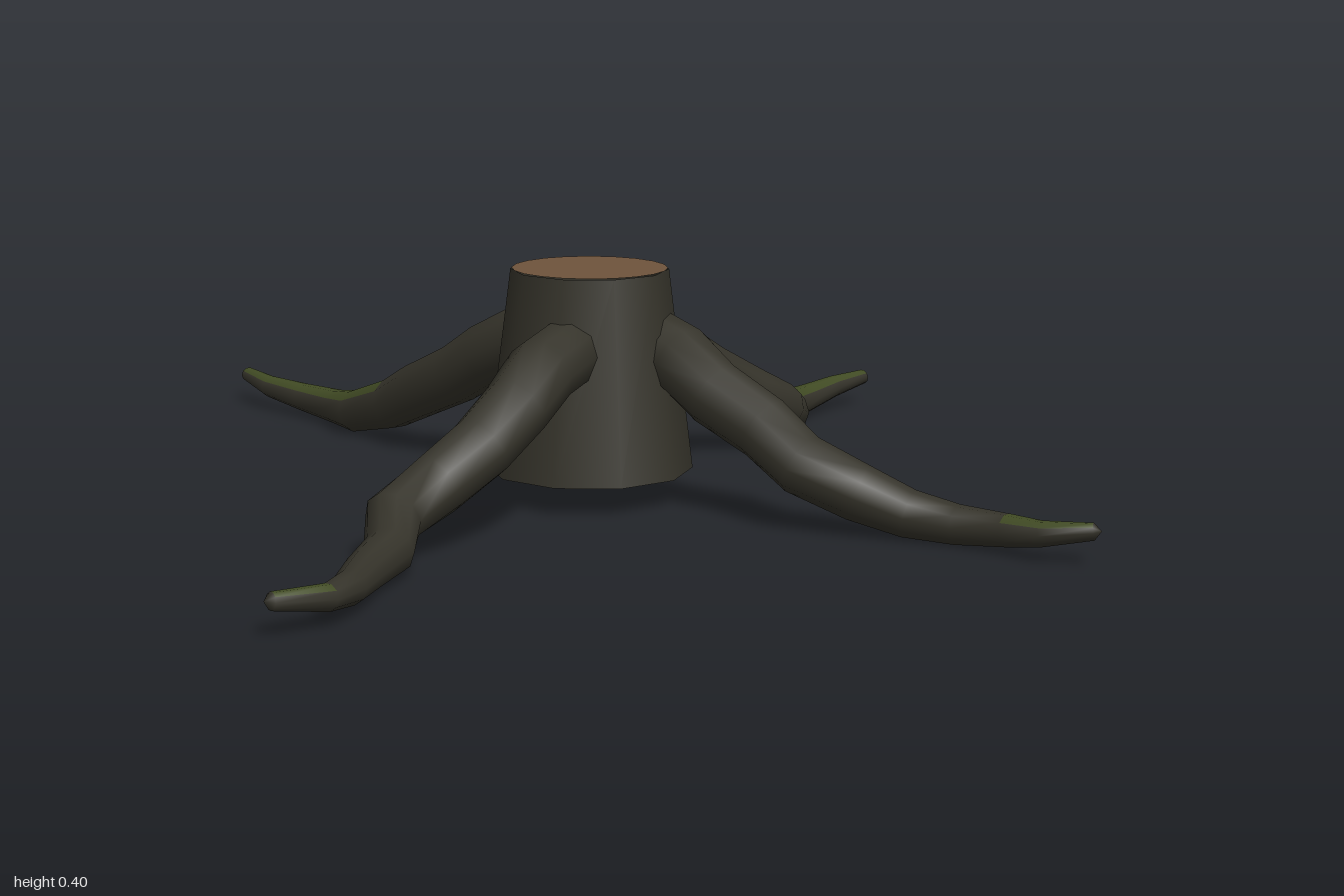
import * as THREE from 'three';

const material = (name, color, side = THREE.FrontSide) => {
  const m = new THREE.MeshStandardMaterial({ color, side });
  m.name = name;
  return m;
};

// Height and thickness shared by every root, from trunk to tip
const HEIGHT = [0.275, 0.255, 0.21, 0.16, 0.115, 0.075, 0.047, 0.038, 0.042, 0.05, 0.06];
const RADIUS = [0.06, 0.06, 0.057, 0.055, 0.052, 0.048, 0.04, 0.033, 0.027, 0.021, 0.014];
const SIDES = 10;

// Crooked tapering tube along [x, z] points; upper faces turn mossy past mossStart
function rootGeometry(path, mossStart) {
  const pts = path.map(([x, z], i) => new THREE.Vector3(x, HEIGHT[i], z));
  const up = new THREE.Vector3(0, 1, 0);
  const pos = [], bark = [], moss = [];
  const last = pts.length - 1;
  pts.forEach((p, k) => {
    const t = pts[Math.min(k + 1, last)].clone().sub(pts[Math.max(k - 1, 0)]).normalize();
    const s = t.clone().cross(up).normalize();
    const n = s.clone().cross(t);
    for (let i = 0; i < SIDES; i++) {
      const a = (i / SIDES) * Math.PI * 2;
      const v = p.clone().addScaledVector(s, Math.cos(a) * RADIUS[k]).addScaledVector(n, Math.sin(a) * RADIUS[k]);
      pos.push(v.x, v.y, v.z);
    }
    // Rounded tip point
    if (k === last) {
      const tip = p.clone().addScaledVector(t, 0.012);
      pos.push(tip.x, tip.y, tip.z);
    }
  });
  for (let k = 0; k < last; k++) {
    for (let i = 0; i < SIDES; i++) {
      const j = (i + 1) % SIDES;
      const a = k * SIDES + i, b = a + SIDES, c = (k + 1) * SIDES + j, d = k * SIDES + j;
      const isTop = Math.sin(((i + 0.5) / SIDES) * Math.PI * 2) > 0.5;
      (k >= mossStart && isTop ? moss : bark).push(a, b, c, a, c, d);
    }
  }
  for (let i = 0; i < SIDES; i++) {
    bark.push((last + 1) * SIDES, last * SIDES + ((i + 1) % SIDES), last * SIDES + i);
  }
  const g = new THREE.BufferGeometry();
  g.setAttribute('position', new THREE.Float32BufferAttribute(pos, 3));
  g.setIndex([...bark, ...moss]);
  g.addGroup(0, bark.length, 0);
  g.addGroup(bark.length, moss.length, 1);
  g.computeVertexNormals();
  return g;
}

export function createModel() {
  const model = new THREE.Group();
  model.name = 'treeStump';
  const barkMat = material('bark', 0x35332a, THREE.DoubleSide);
  const mossMat = material('moss', 0x414b24, THREE.DoubleSide);
  const woodMat = material('cutWood', 0x6e543c);

  // Hollow flared trunk, open underneath
  const trunk = new THREE.Mesh(new THREE.CylinderGeometry(0.135, 0.178, 0.345, 10, 1, true), barkMat);
  trunk.name = 'trunk';
  trunk.position.set(0, 0.2275, 0.065);
  model.add(trunk);

  // Sawn face on top
  const cut = new THREE.Mesh(new THREE.CircleGeometry(0.133, 20), woodMat);
  cut.name = 'cutTop';
  cut.rotation.x = -Math.PI / 2;
  cut.position.set(0, 0.402, 0.065);
  model.add(cut);

  // Four sprawling roots
  const roots = {
    leftRoot: [6, [[0.1, 0.03], [0.19, 0.03], [0.28, 0.05], [0.38, 0.05], [0.46, 0.085], [0.55, 0.1],
      [0.64, 0.06], [0.71, 0.005], [0.8, 0], [0.9, 0], [0.98, 0.02]]],
    rightRoot: [9, [[-0.1, 0.1], [-0.2, 0.115], [-0.28, 0.125], [-0.37, 0.125], [-0.46, 0.11], [-0.55, 0.095],
      [-0.63, 0.155], [-0.72, 0.185], [-0.81, 0.235], [-0.89, 0.265], [-0.98, 0.24]]],
    backRoot: [5, [[0.08, -0.04], [0.085, -0.13], [0.075, -0.22], [0.1, -0.31], [0.105, -0.41], [0.14, -0.5],
      [0.145, -0.6], [0.19, -0.69], [0.205, -0.79], [0.215, -0.89], [0.245, -0.98]]],
    frontRoot: [8, [[0.05, 0.16], [0.04, 0.23], [0.02, 0.31], [0.035, 0.4], [0.01, 0.49], [0.04, 0.58],
      [0.065, 0.66], [0.08, 0.74], [0.08, 0.83], [0.065, 0.9], [0.09, 0.975]]],
  };
  for (const [name, [mossStart, path]] of Object.entries(roots)) {
    const root = new THREE.Mesh(rootGeometry(path, mossStart), [barkMat, mossMat]);
    root.name = name;
    model.add(root);
  }
  return model;
}
